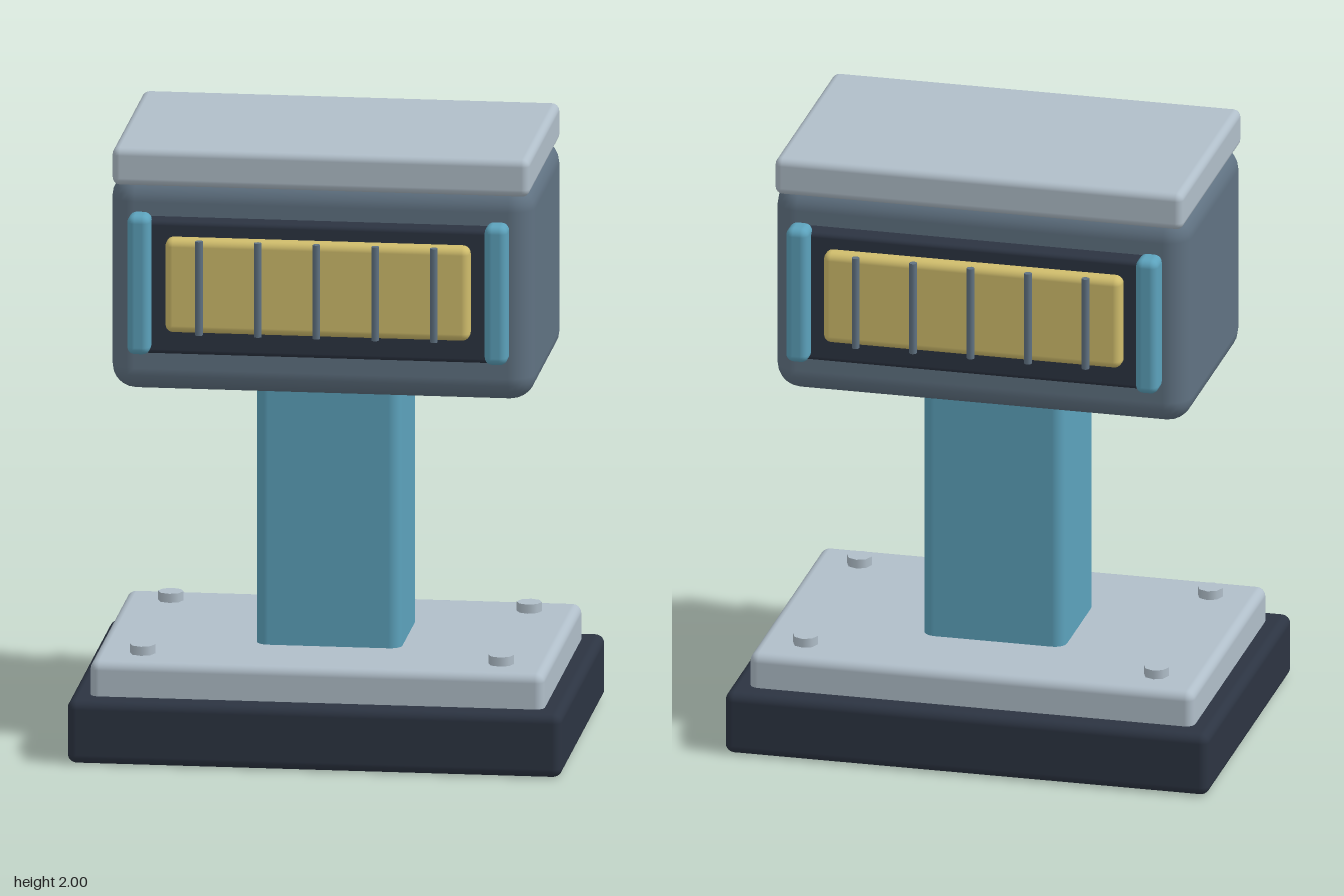
import * as THREE from 'three';
import { RoundedBoxGeometry } from 'three/addons/geometries/RoundedBoxGeometry.js';

function material(name, color) {
  const m = new THREE.MeshStandardMaterial({ color });
  m.name = name;
  return m;
}

export function createModel() {
  const dark = material('dark navy', 0x2c3442);
  const light = material('light grey', 0xb0bec9);
  const slate = material('slate grey', 0x607282);
  const teal = material('teal blue', 0x5ca2bc);
  const yellow = material('lamp yellow', 0xd0bd6c);

  const model = new THREE.Group();
  model.name = 'pedestalLamp';

  // Rounded box given by its size, bottom height and centre
  function box(parent, name, mat, [w, h, d], bottom, radius, x = 0, z = 0, segments = 3) {
    const mesh = new THREE.Mesh(new RoundedBoxGeometry(w, h, d, segments, radius), mat);
    mesh.name = name;
    mesh.position.set(x, bottom + h / 2, z);
    parent.add(mesh);
  }

  // Upright cylinder given by its bottom height and centre
  function rod(parent, name, mat, radius, h, bottom, x, z, sides) {
    const mesh = new THREE.Mesh(new THREE.CylinderGeometry(radius, radius, h, sides), mat);
    mesh.name = name;
    mesh.position.set(x, bottom + h / 2, z);
    parent.add(mesh);
  }

  // Foot, column, head and cap
  box(model, 'base', dark, [1.6, 0.21, 1.13], 0, 0.03);
  box(model, 'basePlate', light, [1.47, 0.145, 0.99], 0.18, 0.03);
  box(model, 'column', teal, [0.47, 1.02, 0.4], 0.25, 0.04);
  box(model, 'head', slate, [1.37, 0.71, 0.76], 1.19, 0.08);
  box(model, 'cap', light, [1.35, 0.125, 0.8], 1.875, 0.025);

  // Bolts at the plate corners
  for (const x of [-0.58, 0.58]) {
    for (const z of [-0.36, 0.36]) rod(model, 'bolt', light, 0.041, 0.055, 0.3, x, z, 8);
  }

  // Matching lamp panels on front and back
  for (const side of [1, -1]) {
    const panel = new THREE.Group();
    panel.name = side > 0 ? 'frontPanel' : 'backPanel';
    panel.rotation.y = side > 0 ? 0 : Math.PI;
    box(panel, 'panelFrame', dark, [1.17, 0.44, 0.12], 1.335, 0.015, 0, 0.385);
    box(panel, 'lamp', yellow, [0.985, 0.31, 0.1], 1.415, 0.025, 0, 0.44);
    for (let i = -2; i <= 2; i++) {
      rod(panel, 'guardBar', slate, 0.0125, 0.31, 1.415, i * 0.19, 0.5, 10);
    }
    for (const x of [-0.578, 0.578]) {
      box(panel, 'sideBar', teal, [0.074, 0.46, 0.09], 1.34, 0.025, x, 0.453);
    }
    model.add(panel);
  }
  return model;
}
